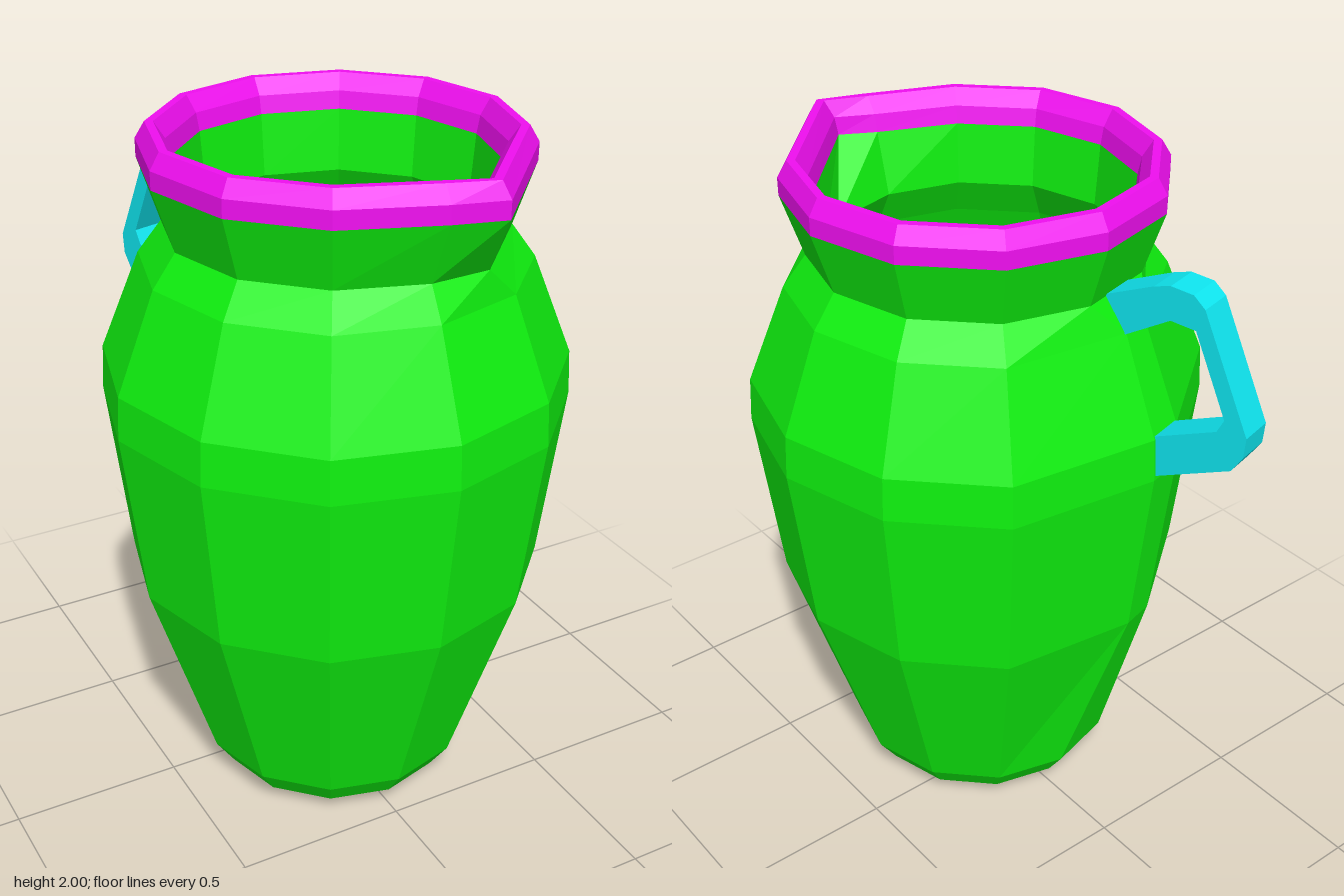
import * as THREE from 'three';

const SIDES = 12;
const AXIS_Z = 0.11; // the vessel's axis sits forward to leave room for the handle

const paint = (color) => new THREE.MeshStandardMaterial({ color, flatShading: true });

// One 12-sided ring. spout pulls two front corners out into a lip;
// narrow slides two back corners together into a strip for the handle.
function ring({ y, r, spout = 0, narrow = false }) {
  const points = [];
  for (let k = 0; k < SIDES; k++) {
    let angle = k * 30;
    let radius = r;
    if (narrow && (k === 6 || k === 7)) {
      angle = k === 6 ? 190 : 200;
      radius *= 0.97;
    }
    const a = THREE.MathUtils.degToRad(angle);
    const p = new THREE.Vector3(radius * Math.sin(a), y, AXIS_Z + radius * Math.cos(a));
    if (k === 0) p.z += 0.03 * spout;
    if (k === 1) {
      p.x -= 0.12 * spout;
      p.z += 0.14 * spout;
    }
    points.push(p);
  }
  return points;
}

// Skins a list of rings, outward when the rings run upwards
function loft(name, rows, material) {
  const rings = rows.map(ring);
  const positions = [];
  const tri = (...corners) => corners.forEach((p) => positions.push(p.x, p.y, p.z));
  for (let j = 0; j < rings.length - 1; j++) {
    for (let k = 0; k < SIDES; k++) {
      const n = (k + 1) % SIDES;
      const a = rings[j][k], b = rings[j][n], c = rings[j + 1][n], d = rings[j + 1][k];
      if (rows[j].r > 0) tri(a, b, c);
      if (rows[j + 1].r > 0) {
        tri(a, c, d);
      } else if (rows[j].r === 0) {
        tri(a, c, d);
      }
    }
  }
  const geometry = new THREE.BufferGeometry();
  geometry.setAttribute('position', new THREE.Float32BufferAttribute(positions, 3));
  geometry.computeVertexNormals();
  const mesh = new THREE.Mesh(geometry, material);
  mesh.name = name;
  return mesh;
}

export function createModel() {
  const model = new THREE.Group();
  model.name = 'jug';
  const green = paint(0x0ff00f);
  const magenta = paint(0xf00ff0);
  const cyan = paint(0x0fe6f0);

  // Outer wall, from the base centre up to the rim
  model.add(loft('outerWall', [
    { y: 0, r: 0 },
    { y: 0, r: 0.235 },
    { y: 0.05, r: 0.345 },
    { y: 0.13, r: 0.4 },
    { y: 0.72, r: 0.59, narrow: true },
    { y: 1.235, r: 0.652, narrow: true },
    { y: 1.36, r: 0.645, narrow: true },
    { y: 1.64, r: 0.533, narrow: true },
    { y: 1.73, r: 0.467, spout: 0.5 },
    { y: 1.905, r: 0.525, spout: 1 },
  ], green));

  // Inner wall, from the rim down to the dished floor
  model.add(loft('innerWall', [
    { y: 1.905, r: 0.435, spout: 1 },
    { y: 1.73, r: 0.42 },
    { y: 1.62, r: 0.48 },
    { y: 1.36, r: 0.59 },
    { y: 1.235, r: 0.6 },
    { y: 0.72, r: 0.54 },
    { y: 0.15, r: 0.35 },
    { y: 0.06, r: 0.182 },
    { y: 0.03, r: 0 },
  ], green));

  // Bevelled rim band, over the top and down inside
  model.add(loft('rim', [
    { y: 1.905, r: 0.525, spout: 1 },
    { y: 1.955, r: 0.525, spout: 1 },
    { y: 2, r: 0.498, spout: 1 },
    { y: 2, r: 0.475, spout: 1 },
    { y: 1.955, r: 0.445, spout: 1 },
    { y: 1.905, r: 0.435, spout: 1 },
  ], magenta));

  // Angular handle: outline of distance from the axis against height
  const outline = [
    [0.438, 1.73], [0.592, 1.8], [0.64, 1.815], [0.707, 1.81], [0.742, 1.78],
    [0.887, 1.46], [0.882, 1.4], [0.85, 1.35], [0.6, 1.235],
    [0.6, 1.36], [0.8, 1.45], [0.82, 1.49], [0.72, 1.715], [0.645, 1.72], [0.5, 1.63],
  ].map(([s, y]) => new THREE.Vector2(s, y));
  const width = 0.1;
  const handleGeometry = new THREE.ExtrudeGeometry(new THREE.Shape(outline), {
    depth: width,
    bevelEnabled: false,
  });
  handleGeometry.translate(0, 0, -width / 2);
  const handle = new THREE.Mesh(handleGeometry, cyan);
  handle.name = 'handle';
  handle.position.z = AXIS_Z;
  handle.rotation.y = THREE.MathUtils.degToRad(105);
  model.add(handle);

  return model;
}
